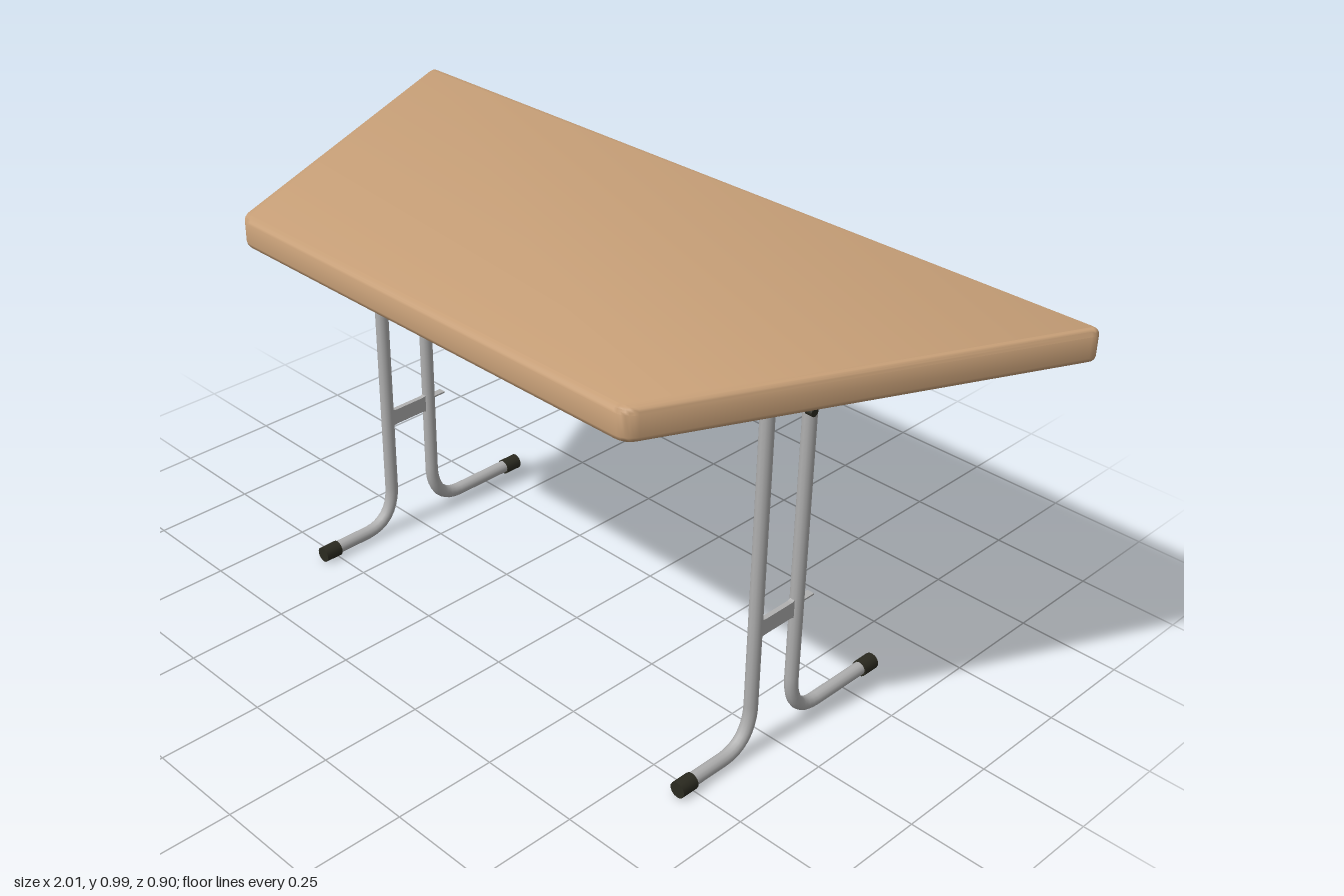
import * as THREE from 'three';
import { toCreasedNormals } from 'three/addons/utils/BufferGeometryUtils.js';

const colour = (name, color) => Object.assign(new THREE.MeshStandardMaterial({ color }), { name });

export function createModel() {
  const wood = colour('wood', 0xc8a078);
  const steel = colour('steel', 0xb0b0b0);
  const rubber = colour('dark plastic', 0x2b2a20);
  const model = new THREE.Group();
  model.name = 'trapezoidTable';

  const add = (parent, name, geometry, material, x = 0, y = 0, z = 0) => {
    const mesh = new THREE.Mesh(geometry, material);
    mesh.name = name;
    mesh.position.set(x, y, z);
    parent.add(mesh);
    return mesh;
  };

  // Straight rod between two points
  const rod = (a, b, r) => new THREE.TubeGeometry(new THREE.LineCurve3(a, b), 1, r, 8);

  // Outline with every corner rounded
  const roundedShape = (corners, r) => {
    const shape = new THREE.Shape();
    corners.forEach((c, i) => {
      const prev = corners[(i + corners.length - 1) % corners.length];
      const next = corners[(i + 1) % corners.length];
      const start = c.clone().add(prev.clone().sub(c).setLength(r));
      const end = c.clone().add(next.clone().sub(c).setLength(r));
      if (i === 0) shape.moveTo(start.x, start.y);
      else shape.lineTo(start.x, start.y);
      shape.quadraticCurveTo(c.x, c.y, end.x, end.y);
    });
    shape.closePath();
    return shape;
  };

  // Table top: softly rounded trapezoid, wide at the back
  const corners = [[-1.012, -0.455], [1.012, -0.455], [0.59, 0.447], [-0.59, 0.447]]
    .map(([x, z]) => new THREE.Vector2(x, z));
  const bevel = 0.014;
  const topGeometry = new THREE.ExtrudeGeometry(roundedShape(corners, 0.03), {
    depth: 0.075 - 2 * bevel, curveSegments: 6, bevelEnabled: true,
    bevelSize: bevel, bevelThickness: bevel, bevelOffset: -bevel, bevelSegments: 4,
  });
  topGeometry.rotateX(Math.PI / 2);
  add(model, 'tableTop', toCreasedNormals(topGeometry, 0.8), wood, 0, 0.995 - bevel, 0);

  // One bent leg tube: upright, bend, foot
  const legTube = (s, footEnd) => {
    const path = new THREE.CurvePath();
    const p = (y, z) => new THREE.Vector3(0, y, s * z);
    path.add(new THREE.LineCurve3(p(0.9, 0.066), p(0.115, 0.066)));
    path.add(new THREE.CubicBezierCurve3(p(0.115, 0.066), p(0.06, 0.07), p(0.024, 0.095), p(0.022, 0.15)));
    path.add(new THREE.LineCurve3(p(0.022, 0.15), p(0.022, footEnd)));
    return new THREE.TubeGeometry(path, 64, 0.016, 12);
  };

  // Bracket profile in x (inward positive) and y, under the top
  const bracketShape = new THREE.Shape([
    [-0.022, 0.922], [-0.022, 0.89], [0.025, 0.888], [0.06, 0.892],
    [0.075, 0.898], [0.108, 0.898], [0.108, 0.922],
  ].map(([x, y]) => new THREE.Vector2(x, y)));

  // A leg frame at each end; side is the sign of x
  for (const side of [1, -1]) {
    const frame = new THREE.Group();
    frame.name = side > 0 ? 'leftLegFrame' : 'rightLegFrame';
    frame.position.x = side * 0.607;
    model.add(frame);

    for (const [s, footEnd] of [[1, 0.28], [-1, 0.345]]) {
      const end = s > 0 ? 'front' : 'back';
      add(frame, end + 'Leg', legTube(s, footEnd), steel);

      // Rubber foot sleeve
      const cap = new THREE.CylinderGeometry(0.0195, 0.0195, 0.045, 14).rotateX(Math.PI / 2);
      add(frame, end + 'FootCap', cap, rubber, 0, 0.0205, s * (footEnd - 0.0125));

      // Mounting bracket and its socket
      const bracket = new THREE.ExtrudeGeometry(bracketShape, { depth: 0.066, bevelEnabled: false });
      bracket.translate(0, 0, -0.033);
      if (side > 0) bracket.rotateY(Math.PI);
      add(frame, end + 'Bracket', bracket, rubber, 0, 0, s * 0.071);
      add(frame, end + 'Socket', new THREE.CylinderGeometry(0.026, 0.02, 0.03, 14), rubber, 0, 0.886, s * 0.069);
    }

    // Plate joining the two uprights, flared at its welded ends
    const plate = new THREE.Shape();
    plate.moveTo(-0.06, 0.29);
    plate.quadraticCurveTo(-0.05, 0.3, -0.04, 0.3);
    plate.lineTo(0.04, 0.3);
    plate.quadraticCurveTo(0.05, 0.3, 0.06, 0.29);
    plate.lineTo(0.06, 0.35);
    plate.quadraticCurveTo(0.05, 0.34, 0.04, 0.34);
    plate.lineTo(-0.04, 0.34);
    plate.quadraticCurveTo(-0.05, 0.34, -0.06, 0.35);
    const plateGeometry = new THREE.ExtrudeGeometry(plate, { depth: 0.012, bevelEnabled: false });
    plateGeometry.translate(0, 0, -0.006).rotateY(Math.PI / 2);
    add(frame, 'crossPlate', plateGeometry, steel);

    // Small catch behind the back upright
    add(frame, 'catch', new THREE.BoxGeometry(0.018, 0.004, 0.035), steel, 0, 0.331, -0.094);

    // Folding stay with its pivot knob on the outer face
    const x = side * 0.014;
    add(frame, 'stay', rod(new THREE.Vector3(0, 0.875, 0.05), new THREE.Vector3(x, 0.81, -0.05), 0.004), steel);
    const knob = new THREE.CylinderGeometry(0.011, 0.011, 0.018, 10).rotateZ(Math.PI / 2);
    add(frame, 'stayKnob', knob, rubber, side * 0.016, 0.811, -0.05);
  }
  return model;
}
